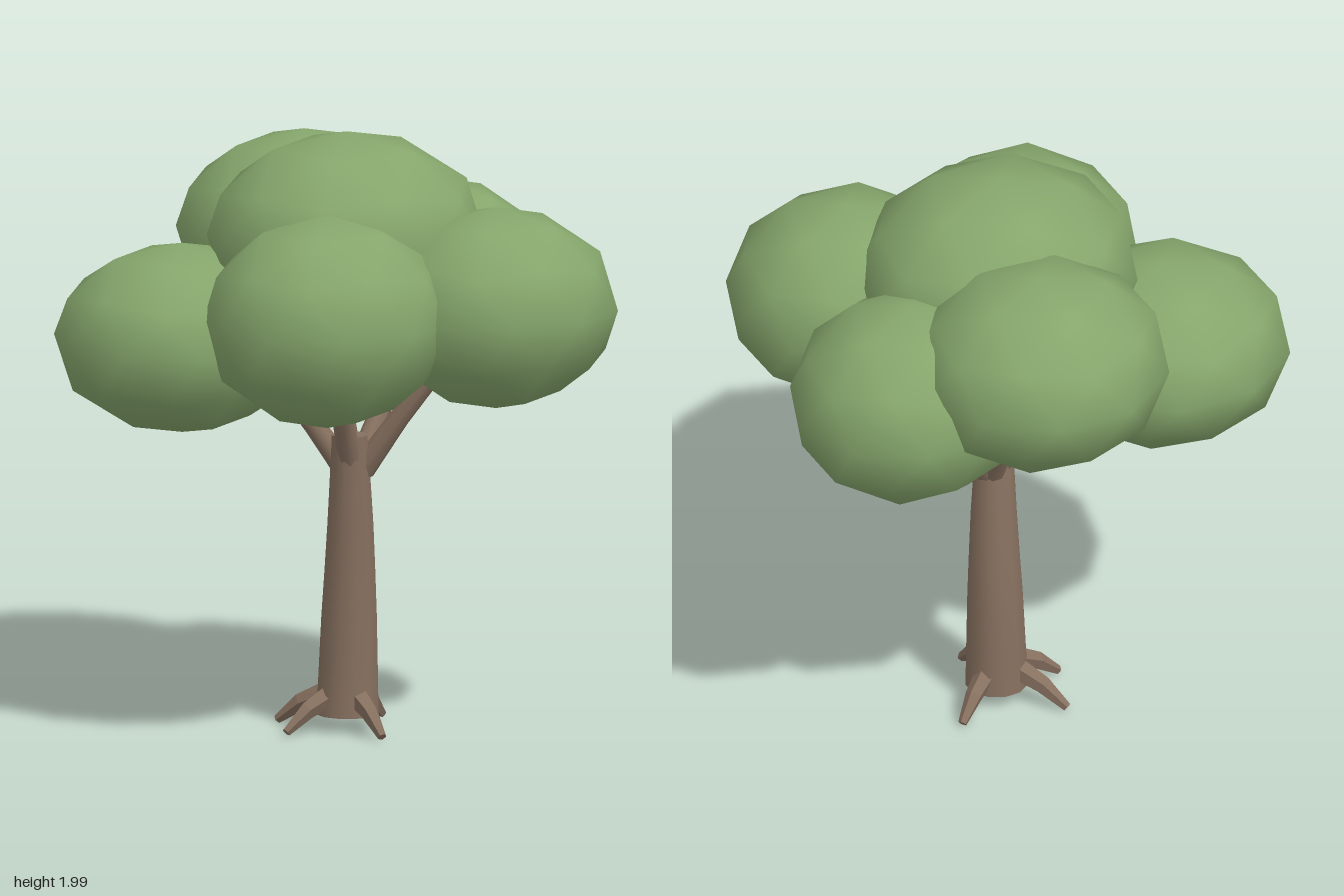
import * as THREE from 'three';

const bark = new THREE.MeshStandardMaterial({ color: 0x86705f });
const leaf = new THREE.MeshStandardMaterial({ color: 0x86a66c });
const rootBark = bark.clone();
rootBark.flatShading = true;

// Tapered limb: a unit cylinder whose rings follow a curve.
// stops: [x, y, z, radius] from base to tip; level keeps the rings horizontal.
function limb(name, stops, sides, steps, material, level = false) {
  const curve = new THREE.CatmullRomCurve3(stops.map(s => new THREE.Vector3(s[0], s[1], s[2])));
  const geo = new THREE.CylinderGeometry(1, 1, 1, sides, steps);
  const pos = geo.attributes.position;
  const up = new THREE.Vector3(0, 1, 0);
  const v = new THREE.Vector3();
  for (let i = 0; i < pos.count; i++) {
    v.fromBufferAttribute(pos, i);
    const t = THREE.MathUtils.clamp(v.y + 0.5, 0, 1);
    const f = t * (stops.length - 1);
    const k = Math.min(Math.floor(f), stops.length - 2);
    const r = THREE.MathUtils.lerp(stops[k][3], stops[k + 1][3], f - k);
    v.y = 0;
    v.multiplyScalar(r);
    if (!level) v.applyQuaternion(new THREE.Quaternion().setFromUnitVectors(up, curve.getTangent(t)));
    v.add(curve.getPoint(t));
    pos.setXYZ(i, v.x, Math.max(v.y, 0), v.z);
  }
  geo.computeVertexNormals();
  // Weld the shading across the cylinder's side seam
  const n = geo.attributes.normal;
  for (let row = 0; row <= steps; row++) {
    const a = row * (sides + 1), b = a + sides;
    v.set(n.getX(a) + n.getX(b), n.getY(a) + n.getY(b), n.getZ(a) + n.getZ(b)).normalize();
    n.setXYZ(a, v.x, v.y, v.z);
    n.setXYZ(b, v.x, v.y, v.z);
  }
  const mesh = new THREE.Mesh(geo, material);
  mesh.name = name;
  return mesh;
}

export function createModel() {
  const tree = new THREE.Group();
  tree.name = 'tree';

  // Gently bent trunk
  tree.add(limb('trunk', [
    [-0.02, 0.06, -0.025, 0.105],
    [-0.02, 0.38, -0.018, 0.094],
    [-0.032, 0.69, 0, 0.078],
    [-0.058, 1.0, 0.022, 0.06],
  ], 12, 6, bark, true));

  // Branches fan out from the trunk top, one to each outer leaf clump
  const branchTips = [
    [0.11, 1.23, 0.27],
    [-0.24, 1.24, 0.13],
    [0.29, 1.21, -0.07],
    [0.14, 1.32, -0.28],
    [-0.21, 1.18, -0.17],
  ];
  const branches = new THREE.Group();
  branches.name = 'branches';
  for (const [x, y, z] of branchTips) {
    const bx = -0.025 + x * 0.1, bz = 0.01 + z * 0.1;
    branches.add(limb('branch', [
      [bx, 0.88, bz, 0.042],
      [(bx + x) / 2 - x * 0.03, (0.88 + y) / 2, (bz + z) / 2 - z * 0.03, 0.034],
      [x, y, z, 0.026],
    ], 8, 2, bark));
  }
  tree.add(branches);

  // Faceted roots spreading to the ground
  const rootTips = [[-0.085, 0.2], [0.2, -0.085], [-0.25, -0.08], [-0.11, -0.26]];
  const roots = new THREE.Group();
  roots.name = 'roots';
  for (const [x, z] of rootTips) {
    const at = (t, y, r) => [-0.02 + (x + 0.02) * t, y, -0.025 + (z + 0.025) * t, r];
    roots.add(limb('root', [at(0.3, 0.125, 0.038), at(0.66, 0.085, 0.03), at(1, 0.02, 0.015)], 5, 2, rootBark));
  }
  tree.add(roots);

  // Leaf clumps: squashed icospheres standing on a vertex
  const ball = new THREE.IcosahedronGeometry(1, 1);
  ball.rotateX(-Math.atan2((1 + Math.sqrt(5)) / 2, 1));
  ball.rotateY(Math.PI / 2);
  // centre x, y, z, then radii x, y, z
  const clumps = [
    ['crownTop', -0.03, 1.645, -0.02, 0.48, 0.355, 0.45],
    ['crownFront', 0.18, 1.45, 0.46, 0.41, 0.335, 0.4],
    ['crownFrontRight', -0.36, 1.445, 0.22, 0.42, 0.355, 0.4],
    ['crownLeft', 0.455, 1.425, -0.1, 0.415, 0.345, 0.39],
    ['crownBack', 0.2, 1.585, -0.445, 0.43, 0.335, 0.42],
    ['crownBackRight', -0.45, 1.325, -0.36, 0.43, 0.315, 0.42],
  ];
  for (const [name, x, y, z, rx, ry, rz] of clumps) {
    const clump = new THREE.Mesh(ball, leaf);
    clump.name = name;
    clump.position.set(x, y, z);
    clump.scale.set(rx, ry, rz);
    tree.add(clump);
  }
  return tree;
}
